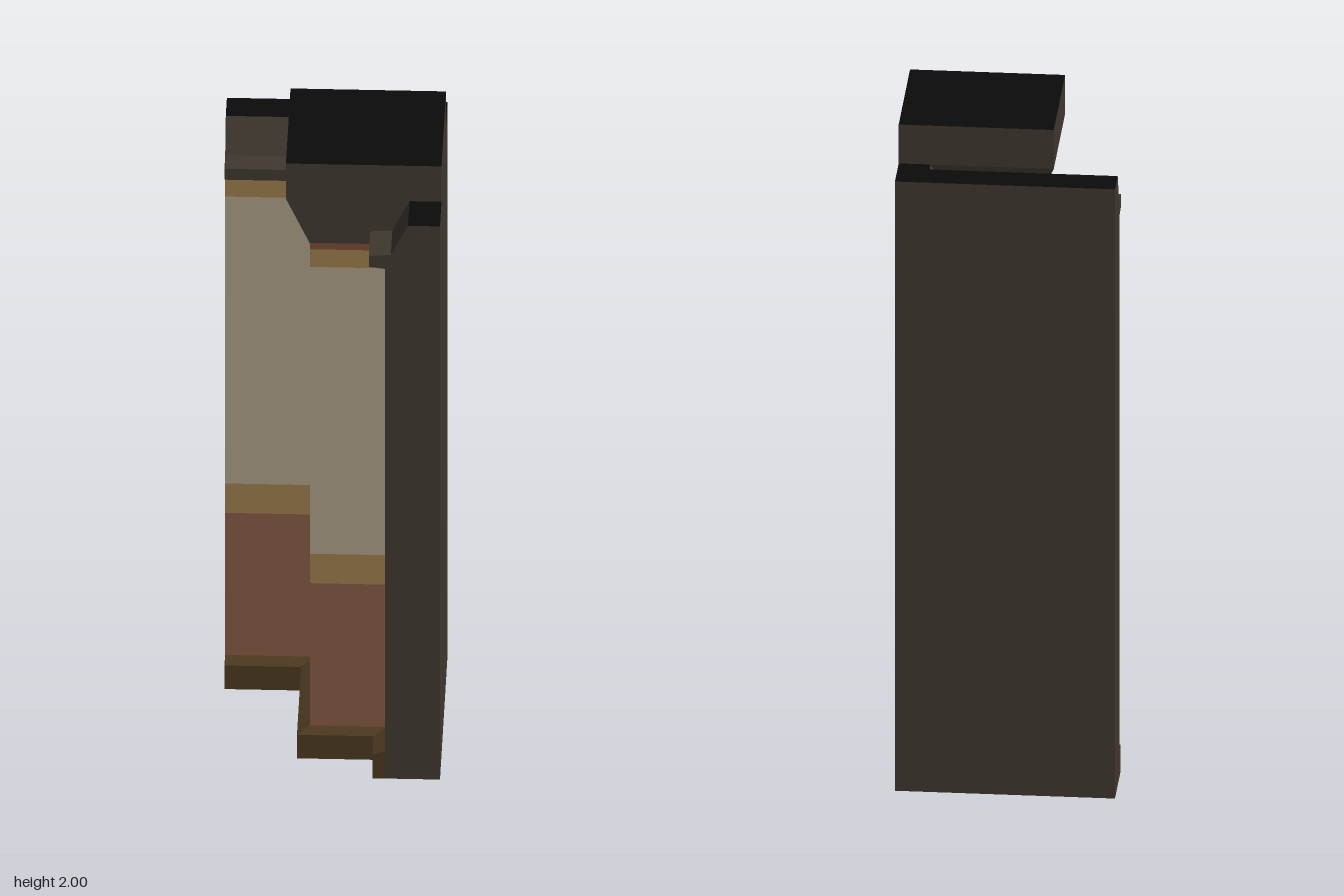
import * as THREE from 'three';

const paint = (name, color) =>
  new THREE.MeshStandardMaterial({ name, color, side: THREE.DoubleSide });

export function createModel() {
  const model = new THREE.Group();
  model.name = 'wallCorner';
  const dark = paint('darkBrown', 0x40382f);
  const black = paint('black', 0x0b0b0b);
  const brown = paint('baseBrown', 0x4b3820);
  const red = paint('brickRed', 0x875b44);
  const rust = paint('rust', 0x7a4d35);
  const gold = paint('gold', 0x9c7d4b);
  const beige = paint('beige', 0xab9f87);

  const add = (name, geometry, material) => {
    const mesh = new THREE.Mesh(geometry, material);
    mesh.name = name;
    model.add(mesh);
    return mesh;
  };

  // Strip of flat quads between neighbouring [path, height] levels
  const band = (name, material, ...levels) => {
    const pos = [];
    for (let l = 0; l + 1 < levels.length; l++) {
      const [pa, ya] = levels[l], [pb, yb] = levels[l + 1];
      for (let i = 0; i + 1 < pa.length; i++) {
        const a = [pa[i][0], ya, pa[i][1]], b = [pa[i + 1][0], ya, pa[i + 1][1]];
        const c = [pb[i + 1][0], yb, pb[i + 1][1]], d = [pb[i][0], yb, pb[i][1]];
        pos.push(...a, ...b, ...c, ...a, ...c, ...d);
      }
    }
    const g = new THREE.BufferGeometry();
    g.setAttribute('position', new THREE.Float32BufferAttribute(pos, 3));
    g.computeVertexNormals();
    return add(name, g, material);
  };

  const E = 0.31;
  // L-shaped plan line at distance p from the centre
  const ell = (p) => [[-E, -p], [p, -p], [p, E]];
  // The same line stepping out around the column
  const stepped = (p, left, front) =>
    [[-E, -p], [left, -p], [left, front], [p, front], [p, E]];
  const rect = (x0, x1, z0, z1) => [[x0, z0], [x0, z1], [x1, z1], [x1, z0], [x0, z0]];

  // Inner wall and column, in coloured courses
  const inner = stepped(0.155, -0.06, 0.187);
  const plinth = stepped(0.12, -0.095, 0.218);
  band('base', brown, [plinth, 0], [plinth, 0.08], [inner, 0.092]);
  [
    ['lowerPanel', red, 0.092, 0.575],
    ['lowerStripe', gold, 0.575, 0.675],
    ['upperPanel', beige, 0.675, 1.65],
    ['upperStripe', gold, 1.65, 1.71],
    ['topStripe', rust, 1.71, 1.732],
  ].forEach(([name, mat, y0, y1]) => band(name, mat, [inner, y0], [inner, y1]));

  // Cornice ledge and sloping coping
  band('cornice', dark, [ell(0.155), 1.732], [ell(0.11), 1.738],
    [ell(0.11), 1.775], [ell(0.172), 1.78], [ell(0.22), 1.88]);
  band('wallTop', black, [ell(0.22), 1.88], [ell(E), 1.88]);
  band('outerWall', dark, [ell(E), 1.88], [ell(E), 0]);

  // Flared capital and its block
  const neck = rect(-0.06, 0.3, -0.155, 0.187);
  const head = rect(-0.127, 0.3, -0.187, 0.187);
  const block = rect(-0.127, E, -0.187, 0.187);
  band('capital', dark, [neck, 1.73], [head, 1.88]);
  band('capitalBlock', dark, [block, 1.88], [block, 2]);
  const top = add('capitalTop', new THREE.PlaneGeometry(E + 0.127, 0.374).rotateX(-Math.PI / 2), black);
  top.position.set((E - 0.127) / 2, 2, 0);

  // End caps of both wall arms
  const wallEnd = [[E, 0], [E, 1.88], [0.22, 1.88], [0.172, 1.78], [0.11, 1.775],
    [0.11, 1.738], [0.155, 1.732], [0.155, 0]];
  const baseEnd = [[0.155, 0], [0.155, 0.092], [0.12, 0.08], [0.12, 0]];
  [['wallEnd', wallEnd, dark], ['baseEnd', baseEnd, brown]].forEach(([name, pts, mat]) => {
    const shape = new THREE.Shape(pts.map(([x, y]) => new THREE.Vector2(x, y)));
    add(name + 'Front', new THREE.ShapeGeometry(shape), mat).position.z = E;
    const side = new THREE.ShapeGeometry(shape).rotateY(Math.PI / 2);
    add(name + 'Side', side, mat).position.x = -E;
  });

  return model;
}
